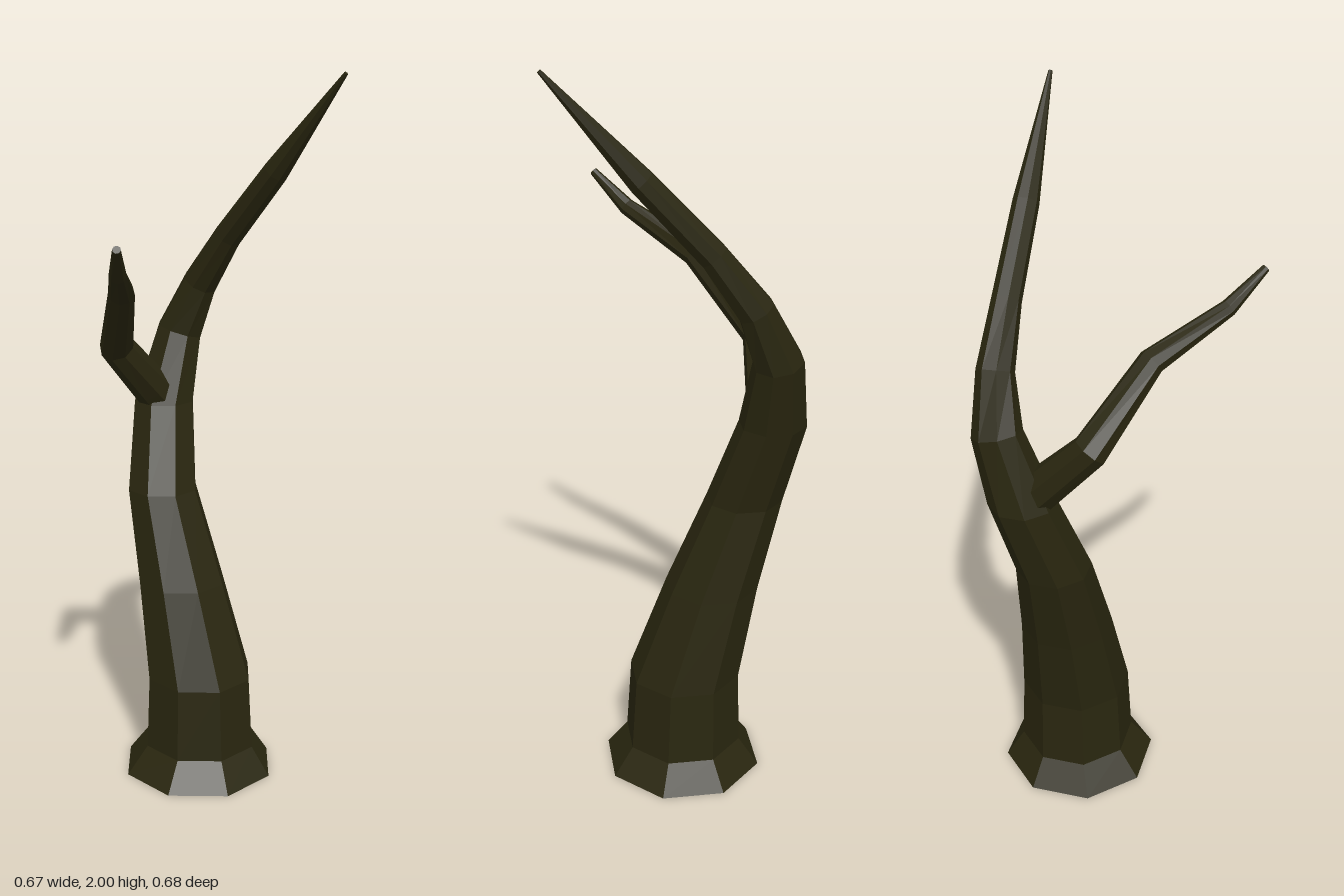
import * as THREE from 'three';

const SIDES = 8;

// Lofts octagonal rings [x, y, z, apothem]; rings below flatBelow stay level, others follow the path.
function limb(name, rings, material, flatBelow = -1) {
  const centres = rings.map(([x, y, z]) => new THREE.Vector3(x, y, z));
  const positions = [];
  const indices = [];
  const last = rings.length - 1;

  rings.forEach((ring, i) => {
    const before = centres[Math.max(i - 1, 0)];
    const after = centres[Math.min(i + 1, last)];
    const axis = ring[1] < flatBelow
      ? new THREE.Vector3(0, 1, 0)
      : after.clone().sub(before).normalize();
    const u = new THREE.Vector3(1, 0, 0);
    u.addScaledVector(axis, -axis.x).normalize();
    const v = axis.clone().cross(u);
    const radius = ring[3] / Math.cos(Math.PI / SIDES);
    for (let j = 0; j < SIDES; j++) {
      const a = ((j + 0.5) / SIDES) * Math.PI * 2;
      const p = centres[i].clone()
        .addScaledVector(u, radius * Math.cos(a))
        .addScaledVector(v, radius * Math.sin(a));
      positions.push(p.x, p.y, p.z);
    }
  });

  // Side walls
  for (let i = 0; i < last; i++) {
    for (let j = 0; j < SIDES; j++) {
      const a = i * SIDES + j;
      const b = i * SIDES + (j + 1) % SIDES;
      indices.push(a, b, b + SIDES, a, b + SIDES, a + SIDES);
    }
  }
  // End caps
  const top = last * SIDES;
  for (let j = 1; j < SIDES - 1; j++) {
    indices.push(0, j + 1, j, top, top + j, top + j + 1);
  }

  const indexed = new THREE.BufferGeometry();
  indexed.setAttribute('position', new THREE.Float32BufferAttribute(positions, 3));
  indexed.setIndex(indices);
  const geometry = indexed.toNonIndexed();
  geometry.computeVertexNormals();
  const mesh = new THREE.Mesh(geometry, material);
  mesh.name = name;
  return mesh;
}

export function createModel() {
  const bark = new THREE.MeshStandardMaterial({ color: 0x29260f, flatShading: true });
  bark.name = 'dark bark';

  const tree = new THREE.Group();
  tree.name = 'bareTree';

  // Flared foot, curved trunk and its long pointed end
  tree.add(limb('trunk', [
    [-0.033, 0, -0.135, 0.205],
    [-0.033, 0.08, -0.14, 0.152],
    [-0.037, 0.29, -0.14, 0.143],
    [-0.112, 0.56, -0.14, 0.118],
    [-0.197, 0.82, -0.145, 0.095],
    [-0.255, 1.06, -0.207, 0.083],
    [-0.252, 1.255, -0.267, 0.062],
    [-0.188, 1.4, -0.286, 0.046],
    [-0.08, 1.545, -0.286, 0.036],
    [0.095, 1.735, -0.285, 0.032],
    [0.325, 1.997, -0.285, 0.005],
  ], bark, 1.1));

  // Crooked side branch reaching forward
  tree.add(limb('sideBranch', [
    [-0.25, 1.08, -0.18, 0.055],
    [-0.25, 1.11, -0.15, 0.052],
    [-0.252, 1.245, -0.022, 0.045],
    [-0.098, 1.433, 0.095, 0.033],
    [0.065, 1.522, 0.253, 0.021],
    [0.147, 1.604, 0.329, 0.01],
  ], bark));

  return tree;
}
